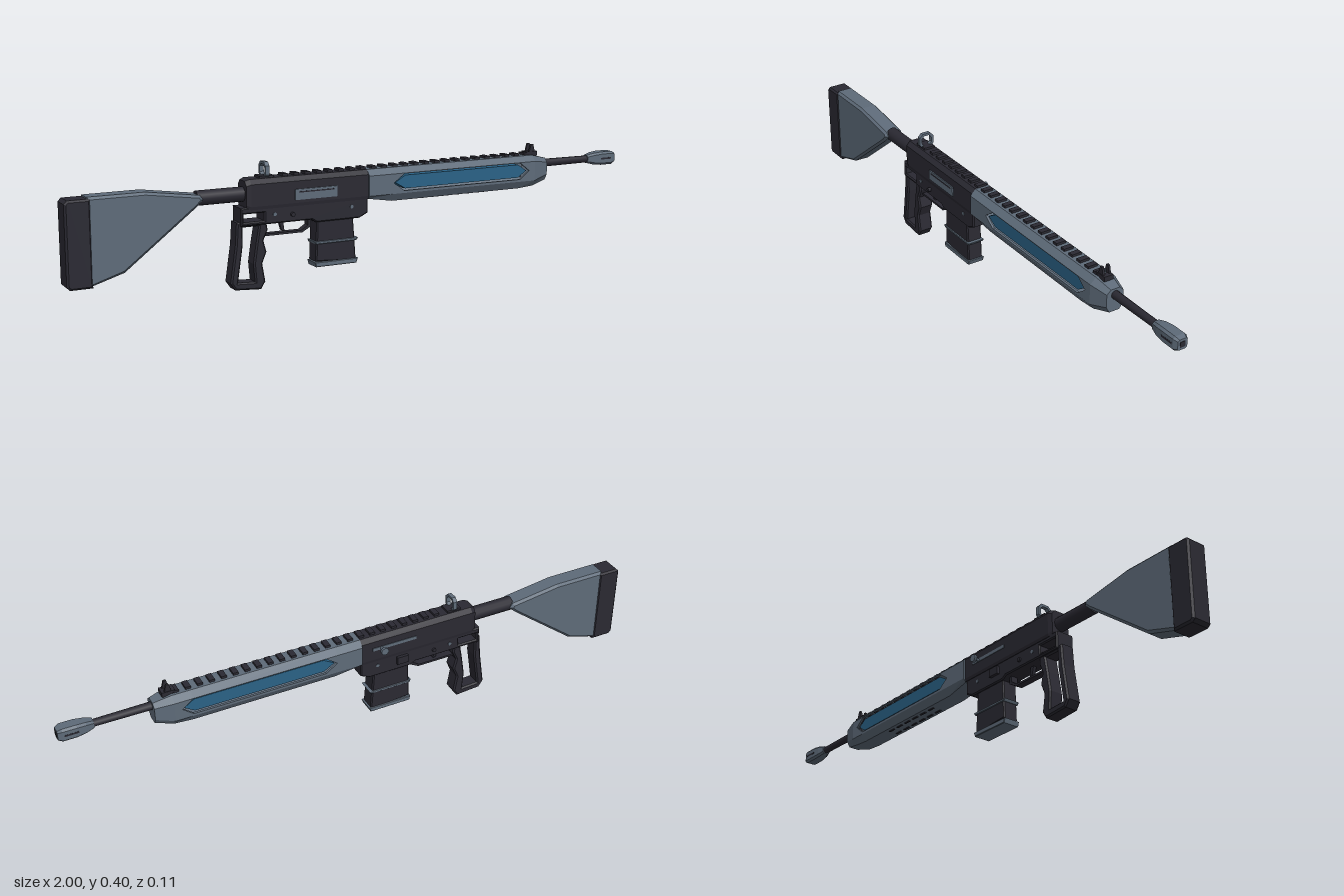
import * as THREE from 'three';

const slate = new THREE.MeshStandardMaterial({ color: 0x5e6b79, side: THREE.DoubleSide });
slate.name = 'slate';
const dark = new THREE.MeshStandardMaterial({ color: 0x2a2932 });
dark.name = 'charcoal';
const blue = new THREE.MeshStandardMaterial({ color: 0x2a6286 });
blue.name = 'blue';

export function createModel() {
  const root = new THREE.Group();
  root.name = 'rifle';
  const body = new THREE.Group();
  body.name = 'body';
  body.position.z = 0.01;
  root.add(body);

  const add = (name, geo, mat, x = 0, y = 0, z = 0) => {
    const m = new THREE.Mesh(geo, mat);
    m.name = name;
    m.position.set(x, y, z);
    body.add(m);
    return m;
  };
  // Box given by its x and y ranges, z centre and z width
  const box = (name, mat, x0, x1, y0, y1, w, z = 0) =>
    add(name, new THREE.BoxGeometry(x1 - x0, y1 - y0, w), mat, (x0 + x1) / 2, (y0 + y1) / 2, z);

  const vecs = (pts) => pts.map(([x, y]) => new THREE.Vector2(x, y));
  const outline = (pts, ...holes) => {
    const s = new THREE.Shape(vecs(pts));
    holes.forEach((h) => s.holes.push(new THREE.Path(vecs(h))));
    return s;
  };
  // Side profile extruded to a total width, with chamfered edges
  const slab = (shape, width, bevel = 0) => {
    const g = new THREE.ExtrudeGeometry(shape, {
      depth: width - 2 * bevel, bevelEnabled: bevel > 0, bevelThickness: bevel,
      bevelSize: bevel, bevelOffset: -bevel, bevelSegments: 1,
    });
    return g.translate(0, 0, -width / 2 + bevel);
  };

  // Eight-sided loft along x; each row is [x, top, upper, lower, bottom, topHalf, half, bottomHalf]
  const loft = (rows, openSides = 0) => {
    const rings = rows.map(([x, t, u, l, b, ht, h, hb]) =>
      [[t, ht], [t, -ht], [u, -h], [l, -h], [b, -hb], [b, hb], [l, h], [u, h]].map(([y, z]) => [x, y, z]));
    const v = [];
    const tri = (...p) => p.forEach((q) => v.push(...q));
    for (let i = 0; i < rings.length - 1; i++) {
      for (let k = 0; k < 8; k++) {
        if (i < openSides && (k === 2 || k === 6)) continue;
        const n = (k + 1) % 8, a = rings[i][k], b = rings[i + 1][k], c = rings[i + 1][n], d = rings[i][n];
        tri(a, b, c);
        tri(a, c, d);
      }
    }
    const first = rings[0], last = rings[rings.length - 1];
    for (let k = 1; k < 7; k++) {
      tri(first[0], first[k], first[k + 1]);
      tri(last[0], last[k + 1], last[k]);
    }
    const g = new THREE.BufferGeometry();
    g.setAttribute('position', new THREE.Float32BufferAttribute(v, 3));
    g.computeVertexNormals();
    return g;
  };

  // Shoulder stock
  add('buttPad', slab(outline([[-1, 0.08], [-0.99, 0.07], [-0.92, 0.07], [-0.92, 0.34], [-0.99, 0.34], [-1, 0.33]]), 0.072, 0.006), dark);
  add('stockFrame', slab(outline(
    [[-0.93, 0.345], [-0.75, 0.345], [-0.575, 0.32], [-0.565, 0.305], [-0.585, 0.285], [-0.82, 0.105], [-0.93, 0.072]],
    [[-0.92, 0.308], [-0.92, 0.115], [-0.855, 0.135], [-0.68, 0.26], [-0.645, 0.29], [-0.75, 0.308]]), 0.066, 0.008), slate);
  const tube = add('stockTube', new THREE.CylinderGeometry(0.024, 0.024, 0.17, 12), dark, -0.495, 0.307);
  tube.rotation.z = Math.PI / 2;

  // Receiver
  add('upperReceiver', loft([
    [-0.425, 0.35, 0.335, 0.275, 0.265, 0.02, 0.033, 0.03],
    [-0.41, 0.355, 0.34, 0.27, 0.26, 0.025, 0.038, 0.036],
    [0, 0.355, 0.34, 0.27, 0.26, 0.025, 0.038, 0.036]]), dark);
  add('lowerReceiver', slab(outline(
    [[-0.445, 0.268], [-0.445, 0.21], [-0.2, 0.21], [-0.185, 0.2], [-0.03, 0.2], [0, 0.215], [0, 0.268]],
    [[-0.435, 0.248], [-0.365, 0.248], [-0.365, 0.222], [-0.435, 0.222]]), 0.068, 0.004), dark);
  box('ejectionPort', slate, -0.262, -0.115, 0.28, 0.314, 0.006, 0.039);
  box('ejectionCover', dark, -0.25, -0.125, 0.303, 0.307, 0.008, 0.039);
  box('boltSlot', slate, -0.2, -0.04, 0.305, 0.316, 0.006, -0.037);
  box('boltRelease', dark, -0.17, -0.13, 0.225, 0.252, 0.012, -0.038);
  const knob = (name, r, len, x, y, z, mat) => {
    add(name, new THREE.CylinderGeometry(r, r, len, 10), mat, x, y, z).rotation.x = Math.PI / 2;
  };
  knob('chargingStem', 0.005, 0.03, -0.072, 0.31, -0.046, slate);
  knob('chargingKnob', 0.013, 0.009, -0.072, 0.31, -0.06, slate);
  knob('safetyButton', 0.007, 0.084, -0.27, 0.235, 0.002, dark);
  for (const x of [-0.33, -0.06]) knob('receiverPin', 0.006, 0.072, x, 0.24, 0, slate);

  // Open-frame grip, trigger and guard
  add('grip', slab(outline(
    [[-0.455, 0.222], [-0.355, 0.222], [-0.35, 0.19], [-0.365, 0.157], [-0.355, 0.12], [-0.37, 0.083],
      [-0.36, 0.025], [-0.375, 0.001], [-0.462, 0.007], [-0.478, 0.03], [-0.46, 0.15]],
    [[-0.435, 0.205], [-0.435, 0.15], [-0.453, 0.03], [-0.395, 0.027], [-0.4, 0.085], [-0.39, 0.15], [-0.38, 0.205]]), 0.052, 0.005), dark);
  add('triggerGuard', slab(outline([[-0.36, 0.175], [-0.36, 0.168], [-0.225, 0.168], [-0.195, 0.185], [-0.195, 0.215],
    [-0.205, 0.215], [-0.205, 0.19], [-0.228, 0.175]]), 0.025), dark);
  add('trigger', slab(outline([[-0.305, 0.215], [-0.295, 0.18], [-0.285, 0.178], [-0.29, 0.215]]), 0.012), dark);

  // Magazine
  add('magazine', slab(outline([[-0.18, 0.205], [-0.185, 0.07], [-0.04, 0.06], [-0.05, 0.205]]), 0.054, 0.004), dark);
  const band = (name, y, h) => {
    const w = add(name, slab(outline([[-0.189, y], [-0.185, y - h], [-0.04, y - h], [-0.034, y]]), 0.06, 0.002), slate);
    return w;
  };
  band('magazineBase', 0.068, 0.016);
  band('magazineBand', 0.136, 0.009);

  // Handguard shell with a window through each side
  const guardEnd = 0.64;
  add('handguard', loft([
    [0, 0.355, 0.336, 0.27, 0.26, 0.025, 0.045, 0.034],
    [0.09, 0.355, 0.336, 0.27, 0.245, 0.025, 0.045, 0.03],
    [0.58, 0.355, 0.336, 0.27, 0.245, 0.025, 0.045, 0.03],
    [guardEnd, 0.355, 0.336, 0.27, 0.25, 0.025, 0.045, 0.03],
    [0.7, 0.34, 0.327, 0.285, 0.265, 0.016, 0.03, 0.018]], 3), slate);
  const windowHex = (g) => [[0.098 - g * 1.4, 0.306], [0.135 - g, 0.284 - g], [0.575 + g, 0.284 - g],
    [0.608 + g * 1.4, 0.306], [0.575 + g, 0.328 + g], [0.135 - g, 0.328 + g]];
  const sideShape = outline([[0, 0.27], [guardEnd, 0.27], [guardEnd, 0.336], [0, 0.336]], windowHex(0.006));
  for (const s of [1, -1]) {
    add('handguardSide', slab(sideShape, 0.008), slate, 0, 0, s * 0.041);
  }
  add('windowPanel', slab(outline(windowHex(0)), 0.078), blue);
  for (let i = 0; i < 6; i++) {
    for (const s of [1, -1]) box('bottomVent', dark, 0.2 + i * 0.045, 0.228 + i * 0.045, 0.242, 0.247, 0.006, s * 0.015);
  }

  // Top rail teeth
  for (let i = 0; i < 24; i++) {
    const x = -0.295 + i * 0.0395;
    box('railTooth', dark, x, x + 0.018, 0.35, 0.363, 0.034);
  }

  // Rear ring sight
  const octagon = (r, k) => [[-k, -r], [k, -r], [r, -k], [r, k], [k, r], [-k, r], [-r, k], [-r, -k]];
  const ring = add('rearSightRing', slab(outline(octagon(0.026, 0.014), octagon(0.018, 0.009)), 0.014), slate, -0.35, 0.379);
  ring.rotation.y = Math.PI / 2;
  box('rearSightBase', dark, -0.375, -0.325, 0.35, 0.362, 0.04);

  // Front sight
  box('frontSightBase', dark, 0.625, 0.668, 0.35, 0.366, 0.032);
  for (const s of [1, -1]) {
    add('frontSightWing', slab(outline([[0.635, 0.36], [0.66, 0.36], [0.652, 0.391], [0.643, 0.391]]), 0.007), dark, 0, 0, s * 0.011);
  }
  box('frontSightPost', slate, 0.645, 0.65, 0.36, 0.38, 0.004);

  // Barrel and muzzle
  const barrel = add('barrel', new THREE.CylinderGeometry(0.012, 0.014, 0.25, 10), dark, 0.79, 0.32);
  barrel.rotation.z = -Math.PI / 2;
  const block = (x, r, c) => [x, 0.32 + r, 0.32 + c, 0.32 - c, 0.32 - r, c, r, c];
  add('muzzle', loft([block(0.885, 0.014, 0.008), block(0.91, 0.02, 0.013), block(0.94, 0.023, 0.016),
    block(0.985, 0.023, 0.016), block(0.999, 0.017, 0.012)]), slate);
  box('muzzleBore', dark, 0.995, 1, 0.311, 0.329, 0.018);
  for (const s of [1, -1]) box('muzzleSlot', dark, 0.935, 0.98, 0.317, 0.323, 0.004, s * 0.0215);

  return root;
}
